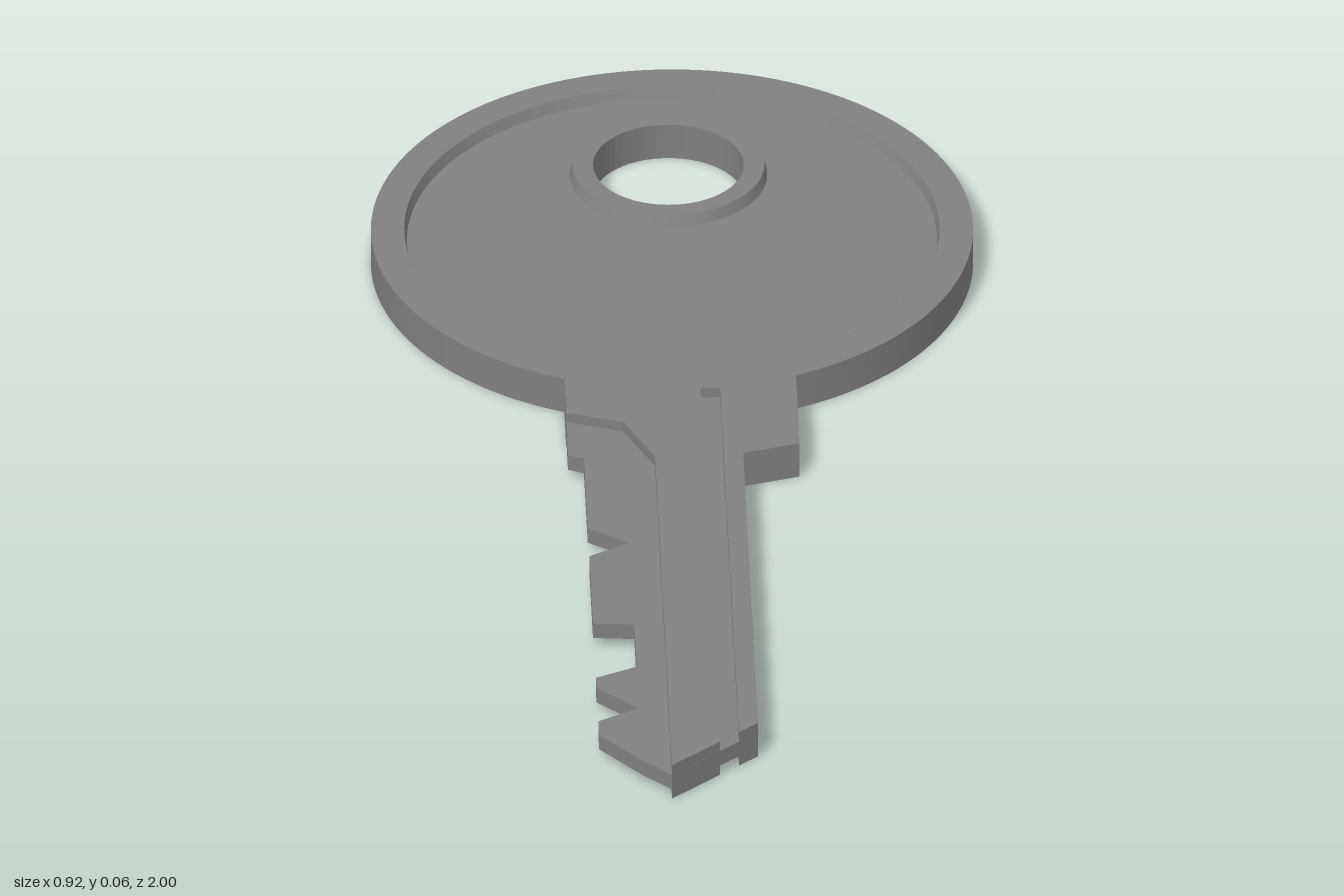
import * as THREE from 'three';
import { toCreasedNormals } from 'three/addons/utils/BufferGeometryUtils.js';

const THICK = 0.06, CAP = 0.017;          // full thickness, depth of recess and grooves
const HEAD_Z = -0.54, HEAD_R = 0.46;
const HOLE_Z = -0.726, HOLE_R = 0.115;
const SHOULDER_X = 0.177;

// Closed outline: head arc from right shoulder to left shoulder, then the given shank points
function keyOutline(points) {
  const a = Math.acos(SHOULDER_X / HEAD_R);
  const shape = new THREE.Shape();
  shape.absarc(0, HEAD_Z, HEAD_R, a, Math.PI - a, true);
  points.forEach(([x, z]) => shape.lineTo(x, z));
  shape.closePath();
  return shape;
}

function circle(r, z, Type = THREE.Path) {
  const c = new Type();
  c.absarc(0, z, r, 0, Math.PI * 2, false);
  return c;
}

// Plate lying flat between two heights; shape coordinates are (x, z)
function plate(shape, bottom, top) {
  const g = new THREE.ExtrudeGeometry(shape, { depth: top - bottom, bevelEnabled: false, curveSegments: 72 });
  g.rotateX(Math.PI / 2);
  g.translate(0, top, 0);
  return toCreasedNormals(g, 0.25);
}

// Sloped ring wall from the outer face down to the recess floor
function slopedWall(rTop, zTop, rFloor, zFloor) {
  const g = new THREE.CylinderGeometry(rTop, rFloor, CAP, 96, 1, true);
  const p = g.attributes.position;
  for (let i = 0; i < p.count; i++) p.setZ(i, p.getZ(i) + (p.getY(i) > 0 ? zTop : zFloor));
  g.translate(0, THICK / 2 - CAP / 2, 0);
  g.computeVertexNormals();
  return g;
}

export function createModel() {
  const key = new THREE.Group();
  key.name = 'key';
  const metal = new THREE.MeshStandardMaterial({ color: 0x808080 });
  const wallMetal = new THREE.MeshStandardMaterial({ color: 0x808080, side: THREE.DoubleSide });
  const add = (name, geometry, material = metal) => {
    const mesh = new THREE.Mesh(geometry, material);
    mesh.name = name;
    key.add(mesh);
    return mesh;
  };

  // Core: thin middle plate carrying the full outline and the cut teeth
  const core = keyOutline([
    [-SHOULDER_X, 0.078], [-0.153, 0.088], [-0.153, 0.288], [-0.09, 0.332], [-0.153, 0.368],
    [-0.153, 0.562], [-0.09, 0.567], [-0.09, 0.688], [-0.153, 0.718], [-0.153, 0.748],
    [-0.09, 0.807], [-0.153, 0.843], [-0.153, 0.882], [-0.09, 0.957], [-0.045, 1],
    [0.09, 0.882], [0.09, 0.106], [SHOULDER_X, 0.08],
  ]);
  core.holes.push(circle(HOLE_R, HOLE_Z));
  add('core', plate(core, CAP, THICK - CAP));

  // Face layer: head rim and shank, stepped beside the teeth and grooved along the blade
  const face = keyOutline([
    [-SHOULDER_X, -0.018], [-0.09, 0.012], [-0.045, 0.113], [-0.045, 1],
    [0.03, 0.934], [0.03, -0.083], [0.06, -0.083], [0.06, 0.908],
    [0.09, 0.882], [0.09, 0.106], [SHOULDER_X, 0.08],
  ]);
  face.holes.push(circle(0.409, -0.542));

  // Raised collar around the hole
  const collar = circle(0.147, -0.729, THREE.Shape);
  collar.holes.push(circle(HOLE_R, HOLE_Z));

  // Same relief on both sides
  for (const [side, bottom] of [['upper', THICK - CAP], ['lower', 0]]) {
    add(side + 'Face', plate(face, bottom, bottom + CAP));
    add(side + 'Collar', plate(collar, bottom, bottom + CAP));
    const walls = [
      add(side + 'RecessWall', slopedWall(0.409, -0.542, 0.405, -0.538), wallMetal),
      add(side + 'CollarWall', slopedWall(0.147, -0.729, 0.151, -0.725), wallMetal),
    ];
    for (const wall of walls) {
      wall.position.y = THICK / 2;
      if (side === 'lower') wall.rotation.z = Math.PI;
    }
  }
  return key;
}
